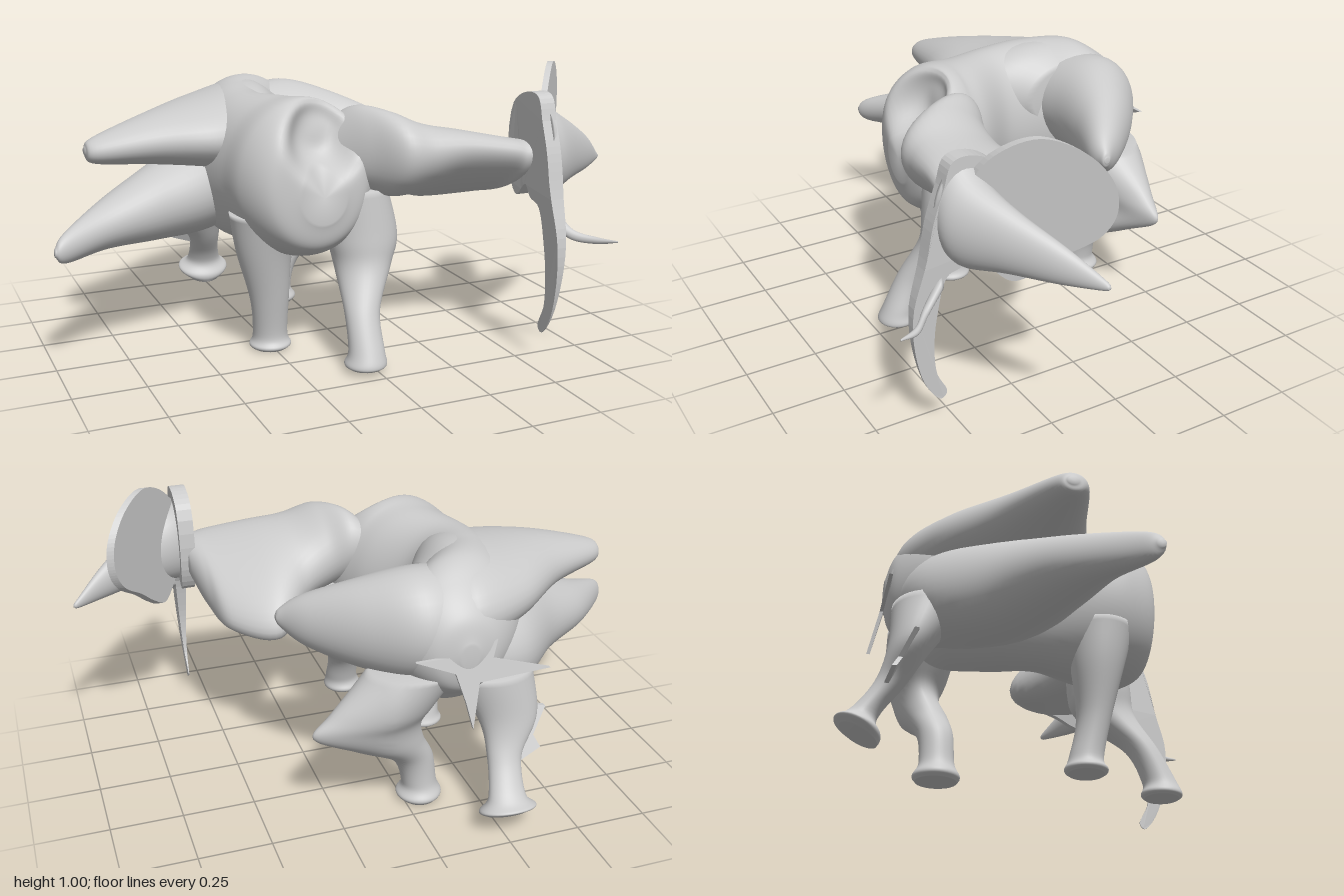
import * as THREE from 'three';

const material = new THREE.MeshStandardMaterial({ color: 0xcccccc, side: THREE.DoubleSide });
const V = (a) => new THREE.Vector3(...a);
const FRAMES = { // ring directions u, v for each loft axis
  x: [V([0, 1, 0]), V([0, 0, 1])],
  y: [V([0, 0, 1]), V([1, 0, 0])],
  z: [V([1, 0, 0]), V([0, 1, 0])],
};

// Smooth skin over elliptical sections [x, y, z, radiusU, radiusV, tilt]
function loft(name, axis, sections, sides = 36, perSpan = 8) {
  const [u, v] = FRAMES[axis];
  const centres = new THREE.CatmullRomCurve3(sections.map((s) => V(s.slice(0, 3))), false, 'catmullrom', 0.5);
  const radii = new THREE.CatmullRomCurve3(sections.map((s) => V([s[3], s[4], s[5] || 0])), false, 'catmullrom', 0.5);
  const rows = (sections.length - 1) * perSpan;
  const pos = [], index = [];
  const p = new THREE.Vector3();
  for (let i = 0; i <= rows; i++) {
    const c = centres.getPoint(i / rows), r = radii.getPoint(i / rows);
    for (let j = 0; j < sides; j++) {
      const a = (j / sides) * Math.PI * 2;
      const e = Math.max(r.x, 0.002) * Math.cos(a), f = Math.max(r.y, 0.002) * Math.sin(a);
      p.copy(c).addScaledVector(u, e * Math.cos(r.z) - f * Math.sin(r.z))
        .addScaledVector(v, e * Math.sin(r.z) + f * Math.cos(r.z));
      pos.push(p.x, p.y, p.z);
    }
  }
  const first = sections[0], last = sections[sections.length - 1];
  const k = 'xyz'.indexOf(axis);
  const up = last[k] > first[k];
  const tri = (a, b, c) => (up ? index.push(a, b, c) : index.push(a, c, b));
  pos.push(...first.slice(0, 3), ...last.slice(0, 3));
  const start = (rows + 1) * sides;
  for (let j = 0; j < sides; j++) {
    const n = (j + 1) % sides;
    for (let i = 0; i < rows; i++) {
      const a = i * sides + j, b = i * sides + n;
      tri(a, b, a + sides);
      tri(b, b + sides, a + sides);
    }
    tri(start, n, j);
    tri(start + 1, rows * sides + j, rows * sides + n);
  }
  const g = new THREE.BufferGeometry();
  g.setAttribute('position', new THREE.Float32BufferAttribute(pos, 3));
  g.setIndex(index);
  g.computeVertexNormals();
  const mesh = new THREE.Mesh(g, material);
  mesh.name = name;
  return mesh;
}

// Move every vertex by a rule
function warp(mesh, rule) {
  const a = mesh.geometry.attributes.position;
  for (let i = 0; i < a.count; i++) a.setXYZ(i, ...rule(a.getX(i), a.getY(i), a.getZ(i)));
  mesh.geometry.computeVertexNormals();
  return mesh;
}

// Thin sheet cut from an outline
function plate(name, outline, thickness, smooth = true) {
  const shape = new THREE.Shape();
  if (smooth) {
    const curve = new THREE.CatmullRomCurve3(outline.map((q) => V([...q, 0])), true);
    shape.setFromPoints(curve.getPoints(90).slice(0, -1).map((q) => new THREE.Vector2(q.x, q.y)));
  } else shape.setFromPoints(outline.map((q) => new THREE.Vector2(...q)));
  const g = new THREE.ExtrudeGeometry(shape, { depth: thickness, bevelEnabled: false });
  g.translate(0, 0, -thickness / 2);
  const mesh = new THREE.Mesh(g, material);
  mesh.name = name;
  return mesh;
}

export function createModel() {
  const model = new THREE.Group();

  // Barrel of the body, hollowed at the top of the chest
  const body = loft('body', 'z', [
    [-0.15, 0.6, 0.33, 0.08, 0.09], [-0.16, 0.63, 0.3, 0.18, 0.21], [-0.165, 0.64, 0.2, 0.24, 0.27],
    [-0.2, 0.635, 0.06, 0.22, 0.27], [-0.265, 0.63, -0.1, 0.175, 0.27], [-0.255, 0.63, -0.25, 0.195, 0.28],
    [-0.18, 0.65, -0.4, 0.23, 0.265], [-0.15, 0.66, -0.5, 0.2, 0.2], [-0.14, 0.65, -0.58, 0.12, 0.13],
    [-0.14, 0.65, -0.61, 0.03, 0.04],
  ], 64, 10);
  warp(body, (x, y, z) => {
    const d = Math.hypot(x + 0.13, y - 0.79) / 0.115;
    const push = z > 0.1 ? 0.13 * Math.exp(-(d ** 4)) * Math.min(1, (z - 0.1) / 0.12) : 0;
    return [x, y, z - push];
  });
  model.add(body);

  // Drawn-out points on the flanks
  model.add(loft('upperRightFlank', 'x', [
    [-0.845, 0.73, -0.12, 0.012, 0.015], [-0.81, 0.73, -0.12, 0.045, 0.06], [-0.6, 0.75, -0.16, 0.09, 0.15],
    [-0.4, 0.75, -0.225, 0.13, 0.26], [-0.2, 0.745, -0.3, 0.165, 0.28], [-0.08, 0.73, -0.36, 0.12, 0.17],
  ]));
  model.add(loft('lowerRightFlank', 'x', [
    [-1.0, 0.45, 0.1, 0.012, 0.012], [-0.96, 0.455, 0.07, 0.05, 0.04], [-0.8, 0.49, -0.05, 0.085, 0.1],
    [-0.6, 0.525, -0.15, 0.135, 0.16], [-0.4, 0.555, -0.28, 0.18, 0.24], [-0.2, 0.59, -0.38, 0.18, 0.2],
  ]));
  model.add(loft('leftFlank', 'x', [
    [-0.15, 0.705, -0.39, 0.17, 0.17], [0, 0.7, -0.4, 0.185, 0.17],
    [0.15, 0.69, -0.34, 0.15, 0.13], [0.3, 0.68, -0.245, 0.09, 0.075], [0.37, 0.68, -0.2, 0.035, 0.025],
    [0.385, 0.68, -0.195, 0.01, 0.01],
  ]));

  // Legs, from the sole up
  const legs = {
    frontLeftLeg: [
      [-0.035, 0.02, 0.41, 0.06, 0.06], [-0.035, 0.035, 0.41, 0.073, 0.073], [-0.03, 0.08, 0.405, 0.06, 0.062],
      [-0.02, 0.2, 0.345, 0.06, 0.062], [0.03, 0.33, 0.235, 0.105, 0.1], [0.04, 0.43, 0.21, 0.115, 0.125],
      [0.02, 0.6, 0.2, 0.11, 0.11],
    ],
    frontRightLeg: [
      [-0.255, 0.005, 0.075, 0.06, 0.06], [-0.255, 0.02, 0.075, 0.073, 0.075], [-0.255, 0.06, 0.075, 0.058, 0.062],
      [-0.265, 0.2, 0.1, 0.058, 0.07], [-0.285, 0.38, 0.11, 0.09, 0.1], [-0.27, 0.52, 0.12, 0.12, 0.14],
    ],
    rearLeftLeg: [
      [-0.06, 0.005, -0.39, 0.07, 0.065], [-0.06, 0.025, -0.39, 0.08, 0.08], [-0.06, 0.07, -0.39, 0.06, 0.062],
      [-0.03, 0.18, -0.395, 0.062, 0.075], [0.07, 0.27, -0.42, 0.08, 0.13], [0.15, 0.355, -0.45, 0.085, 0.19],
      [0.1, 0.43, -0.455, 0.11, 0.18], [-0.02, 0.56, -0.445, 0.13, 0.16],
    ],
    rearRightLeg: [
      [-0.27, 0.06, -0.67, 0.06, 0.07], [-0.27, 0.085, -0.675, 0.075, 0.1], [-0.27, 0.13, -0.665, 0.05, 0.065],
      [-0.29, 0.24, -0.585, 0.05, 0.06], [-0.32, 0.36, -0.53, 0.07, 0.105], [-0.27, 0.53, -0.47, 0.12, 0.15],
    ],
  };
  for (const [name, sections] of Object.entries(legs)) model.add(loft(name, 'y', sections));
  // Lift the heel of the trailing foot
  warp(model.getObjectByName('rearRightLeg'), (x, y, z) => [x, y + Math.max(0, 0.16 - y) * (-0.66 - z) * 5, z]);
  // Sharpen the knee outward and narrow it to an edge
  warp(model.getObjectByName('rearLeftLeg'), (x, y, z) => {
    const t = Math.min(1, Math.max(0, (x - 0.1) / 0.25));
    return [x, y, z + (-0.465 - z) * 0.6 * t];
  });
  // Torn fold beside the trailing leg
  const fold = plate('legFold', [[-0.26, 0.42], [-0.46, 0.37], [-0.4, 0.29], [-0.42, 0.25], [-0.34, 0.22], [-0.28, 0.24]], 0.015, false);
  model.add(warp(fold, (x, y, z) => [x, y, z - 0.53 - (0.36 - y) * 0.5]));

  // Neck stretched sideways toward the head
  model.add(loft('neck', 'x', [
    [-0.06, 0.72, 0.15, 0.1, 0.06, -0.3], [0.02, 0.74, 0.21, 0.14, 0.12, -0.35], [0.1, 0.72, 0.27, 0.145, 0.17, -0.4],
    [0.2, 0.69, 0.26, 0.12, 0.2, -0.42], [0.33, 0.65, 0.2, 0.105, 0.28, -0.43], [0.48, 0.645, 0.26, 0.085, 0.24, -0.43],
    [0.53, 0.66, 0.33, 0.08, 0.17, -0.43], [0.57, 0.7, 0.41, 0.05, 0.09, -0.4],
  ]));

  // Face and trunk: a blade thinning toward the trunk tip
  const face = plate('faceAndTrunk', [
    [0.36, 0.88], [0.45, 0.93], [0.51, 0.92], [0.54, 0.84], [0.575, 0.74], [0.605, 0.6], [0.645, 0.45], [0.64, 0.3],
    [0.6, 0.16], [0.55, 0.1], [0.53, 0.12], [0.565, 0.2], [0.575, 0.3], [0.565, 0.42], [0.53, 0.55],
    [0.48, 0.57], [0.45, 0.61], [0.39, 0.56], [0.34, 0.66],
  ], 0.055);
  model.add(warp(face, (x, y, z) => [0.57 - z * Math.min(1, Math.max(0.08, (y - 0.1) / 0.55)), y, x]));

  // Cheek pulled out to a point
  model.add(loft('cheek', 'x', [
    [0.575, 0.745, 0.465, 0.165, 0.1], [0.64, 0.72, 0.455, 0.14, 0.095], [0.75, 0.7, 0.4, 0.1, 0.065],
    [0.88, 0.665, 0.315, 0.06, 0.038], [0.98, 0.63, 0.24, 0.018, 0.014], [1.0, 0.625, 0.23, 0.005, 0.005],
  ]));

  // Ear sheet, slanting outward to the back
  const ear = plate('ear', [
    [0.47, 0.8], [0.41, 0.93], [0.3, 1.0], [0.2, 0.965], [0.135, 0.88], [0.125, 0.78], [0.16, 0.7],
    [0.24, 0.63], [0.3, 0.57], [0.36, 0.53], [0.41, 0.57], [0.46, 0.66],
  ], 0.025);
  model.add(warp(ear, (x, y, z) => [0.6 + (0.45 - x) * 0.82 - z, y, x]));

  // Tusk
  model.add(loft('tusk', 'z', [
    [0.585, 0.53, 0.55, 0.02, 0.024], [0.62, 0.47, 0.62, 0.017, 0.017], [0.68, 0.455, 0.68, 0.013, 0.012],
    [0.715, 0.465, 0.75, 0.003, 0.003],
  ], 16));

  // Tail, a thin ragged star
  const tail = plate('tail', [
    [-0.11, 0.74], [-0.08, 0.655], [0.04, 0.655], [-0.09, 0.6], [-0.12, 0.5], [-0.14, 0.41], [-0.17, 0.56],
    [-0.42, 0.57], [-0.22, 0.63], [-0.24, 0.69], [-0.15, 0.66],
  ], 0.012, false);
  model.add(warp(tail, (x, y, z) => [x, y, z - 0.595 - (0.65 - y) * 0.22]));

  return model;
}
